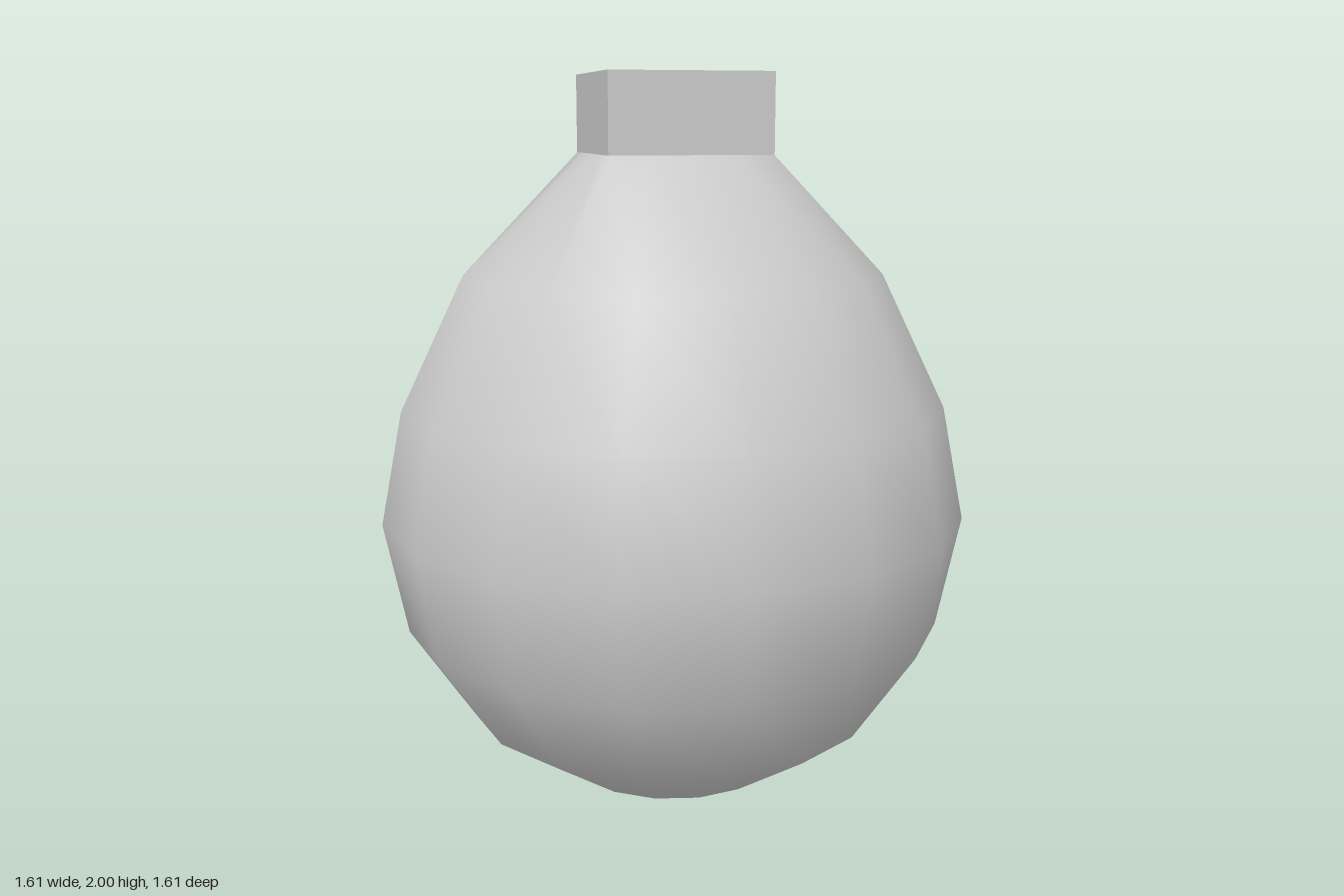
import * as THREE from 'three';

const SIDES = 16;
const R = 0.807;      // radius of the round body
const NECK = 0.219;   // half width of the square neck
const NECK_Y = 1.79;
const TOP_Y = 2;

// Round flask whose upper ring is squared off to meet the neck
function bodyGeometry() {
  const pos = [], index = [];
  const rings = [];
  for (let i = 0; i <= 5; i++) {
    const t = (i * Math.PI) / 8;
    rings.push([R * Math.sin(t), R - R * Math.cos(t)]);
  }
  rings.push([R * Math.sin(Math.PI / 4), 1.475]); // raised shoulder
  rings.push([R * Math.sin(Math.PI / 8), NECK_Y]); // square opening
  rings.forEach(([r, y], i) => {
    const limit = i === rings.length - 1 ? NECK : Infinity;
    for (let j = 0; j < SIDES; j++) {
      const a = (j / SIDES) * Math.PI * 2;
      const clamp = (v) => Math.max(-limit, Math.min(limit, v));
      pos.push(clamp(r * Math.sin(a)), y, clamp(r * Math.cos(a)));
    }
  });
  // Bottom pole: one shared point
  for (let i = 1; i < rings.length; i++) {
    for (let j = 0; j < SIDES; j++) {
      const k = (j + 1) % SIDES;
      const low = (i - 1) * SIDES, high = i * SIDES;
      if (i === 1) {
        index.push(high + j, 0, high + k);
      } else {
        index.push(high + j, low + j, low + k);
        index.push(high + j, low + k, high + k);
      }
    }
  }
  const geo = new THREE.BufferGeometry();
  geo.setAttribute('position', new THREE.Float32BufferAttribute(pos, 3));
  geo.setIndex(index);
  geo.computeVertexNormals();
  return geo;
}

export function createModel() {
  const group = new THREE.Group();
  group.name = 'flask';
  const grey = new THREE.MeshStandardMaterial({ color: 0xcccccc });

  const body = new THREE.Mesh(bodyGeometry(), grey);
  body.name = 'body';
  group.add(body);

  // Square stopper on the neck
  const h = TOP_Y - NECK_Y;
  const stopper = new THREE.Mesh(new THREE.BoxGeometry(NECK * 2, h, NECK * 2), grey);
  stopper.name = 'stopper';
  stopper.position.y = NECK_Y + h / 2;
  group.add(stopper);

  return group;
}
